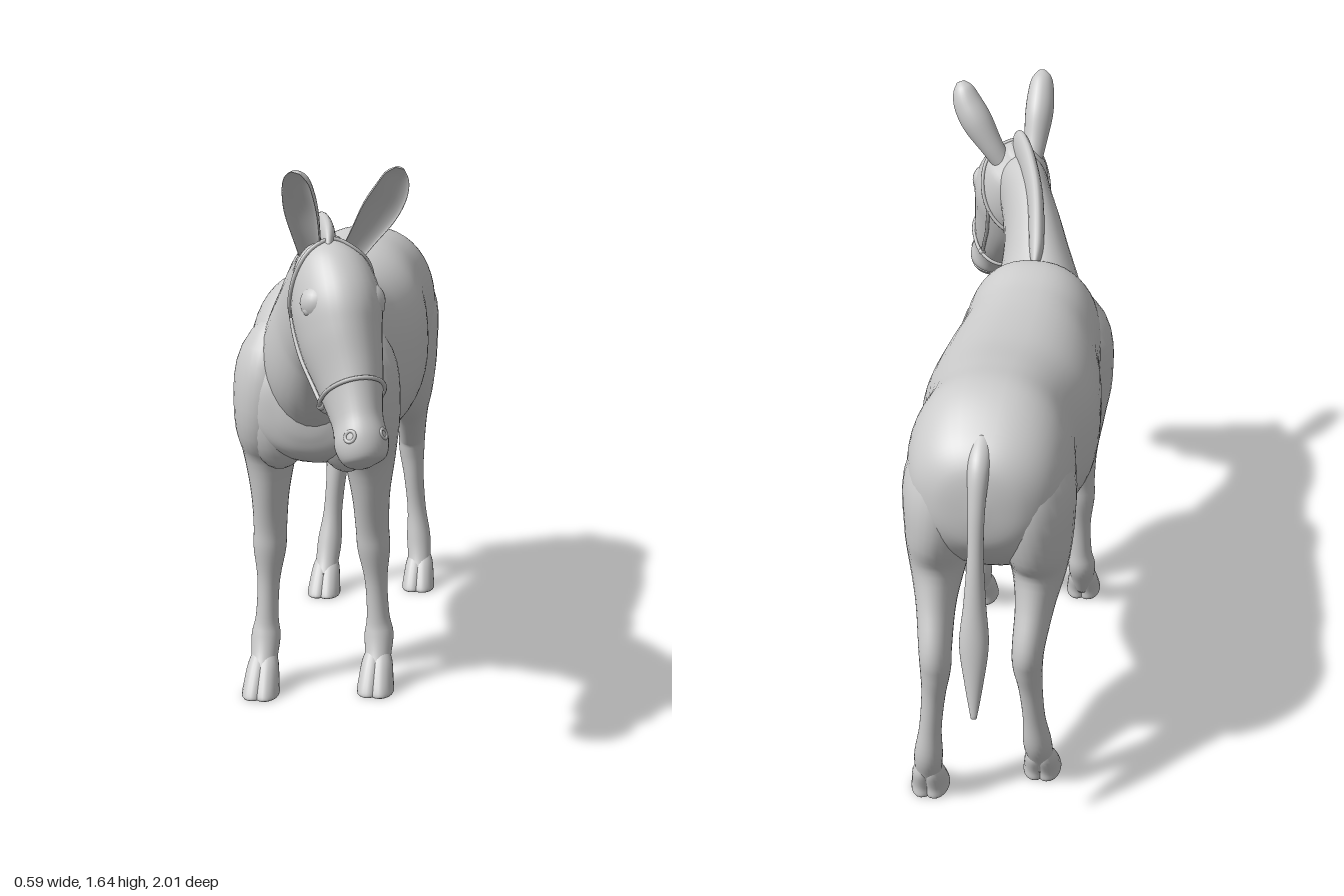
import * as THREE from 'three';

const V = (x, y, z) => new THREE.Vector3(x, y, z);
const grey = new THREE.MeshStandardMaterial({ color: 0xcccccc });
const CX = -0.04; // middle of the trunk

// Catmull-Rom value of every column of the station table at v in 0..1
function sample(st, v) {
  const f = Math.min(Math.max(v, 0), 1) * (st.length - 1);
  const i = Math.min(Math.floor(f), st.length - 2), t = f - i;
  const p = k => st[Math.min(Math.max(i + k, 0), st.length - 1)];
  return st[0].map((_, c) => {
    const [a, b, d, e] = [p(-1)[c], p(0)[c], p(1)[c], p(2)[c]];
    return b + 0.5 * t * (d - a + t * (2 * a - 5 * b + 4 * d - e + t * (3 * (b - d) + e - a)));
  });
}

// Surface point on a loft; stations are [x, y, z, half width, half depth]
function loftPoint(st, v, ang, { side = V(1, 0, 0), dir, cup, power = 1, grow = 0 } = {}) {
  const [x, y, z, a, b] = sample(st, v);
  const e = 0.01, p0 = sample(st, v - e), p1 = sample(st, v + e);
  const t = dir ? dir.clone() : V(p1[0] - p0[0], p1[1] - p0[1], p1[2] - p0[2]).normalize();
  const s = side.clone().addScaledVector(t, -side.dot(t)).normalize();
  const u = t.clone().cross(s);
  const bend = n => Math.sign(n) * Math.abs(n) ** power; // below 1 squares the section
  let q = bend(Math.sin(ang));
  if (cup && q < 0) q *= -0.3; // hollow front of an ear
  return V(x, y, z).addScaledVector(s, (Math.max(a, 0.002) + grow) * bend(Math.cos(ang)))
    .addScaledVector(u, (Math.max(b, 0.002) + grow) * q);
}

function loft(name, st, opt = {}, rows = 48, seg = 32) {
  const pos = [], idx = [];
  for (let i = 0; i <= rows; i++)
    for (let j = 0; j < seg; j++)
      pos.push(...loftPoint(st, i / rows, j / seg * Math.PI * 2, opt).toArray());
  for (let i = 0; i < rows; i++)
    for (let j = 0; j < seg; j++) {
      const k = (j + 1) % seg, a = i * seg + j, b = i * seg + k;
      idx.push(a, b, a + seg, b, b + seg, a + seg);
    }
  // closing fans with their own centre points
  for (const [row, flip] of [[0, true], [rows, false]]) {
    const c = pos.length / 3, base = row * seg;
    pos.push(...sample(st, row / rows).slice(0, 3));
    for (let j = 0; j < seg; j++) {
      const a = base + j, b = base + (j + 1) % seg;
      idx.push(...(flip ? [c, b, a] : [c, a, b]));
    }
  }
  const g = new THREE.BufferGeometry();
  g.setAttribute('position', new THREE.Float32BufferAttribute(pos, 3));
  g.setIndex(idx);
  g.computeVertexNormals();
  const m = new THREE.Mesh(g, grey);
  m.name = name;
  return m;
}

function blob(name, p, sx, sy, sz) {
  const m = new THREE.Mesh(new THREE.SphereGeometry(1, 24, 16), grey);
  m.name = name;
  m.position.copy(p);
  m.scale.set(sx, sy, sz);
  return m;
}

function strap(name, pts, closed = false, r = 0.006) {
  const m = new THREE.Mesh(new THREE.TubeGeometry(new THREE.CatmullRomCurve3(pts, closed), 64, r, 8, closed), grey);
  m.name = name;
  return m;
}

// Leg with a notched hoof; the foot swings by swing along z
function leg(name, st, side, swing, footZ) {
  const g = new THREE.Group();
  g.name = name;
  const place = ([x, y, z, a, b]) => {
    const low = 1 - Math.min(y, 0.95) / 0.95;
    return [CX + side * x + 0.01 * low, y, z + swing * low, a, b];
  };
  g.add(loft('limb', st.map(place)));
  const lastX = st[st.length - 1][0];
  for (const d of [-1, 1]) {
    const half = [[0.012, 0.12, -0.05, 0.02, 0.025], [0.014, 0.085, -0.034, 0.032, 0.044],
      [0.017, 0.035, -0.008, 0.036, 0.056], [0.018, 0.008, 0, 0.038, 0.064], [0.018, 0, 0, 0.036, 0.061]];
    g.add(loft('hoof', half.map(([x, y, z, a, b]) => place([lastX + d * x, y, footZ + z, a, b])),
      { dir: V(0, -1, 0) }, 16, 20));
  }
  return g;
}

export function createModel() {
  const model = new THREE.Group();
  model.name = 'donkey';

  // Trunk, rump to chest
  model.add(loft('trunk', [
    [CX, 1.02, -0.866, 0.02, 0.03], [CX, 1.025, -0.848, 0.12, 0.12], [CX, 1.02, -0.78, 0.195, 0.2],
    [CX, 1.01, -0.65, 0.23, 0.28], [CX, 1.01, -0.5, 0.222, 0.273], [CX, 0.967, -0.3, 0.254, 0.286],
    [CX, 0.957, -0.1, 0.245, 0.287], [CX, 0.967, 0.05, 0.22, 0.285], [CX, 0.985, 0.2, 0.21, 0.285],
    [CX, 0.95, 0.31, 0.195, 0.225], [CX, 0.9, 0.385, 0.155, 0.14], [CX, 0.89, 0.412, 0.08, 0.075],
    [CX, 0.89, 0.42, 0.02, 0.02],
  ], { dir: V(0, 0, 1), power: 0.87 }, 78, 48));
  for (const s of [-1, 1])
    model.add(blob('breastMuscle', V(CX + s * 0.1, 0.87, 0.3), 0.1, 0.17, 0.1));
  model.add(blob('sheath', V(CX, 0.75, -0.5), 0.035, 0.033, 0.055));

  // Neck and upright mane
  model.add(loft('neck', [
    [CX, 0.97, 0.16, 0.17, 0.24], [-0.035, 1.06, 0.32, 0.146, 0.22], [-0.005, 1.185, 0.465, 0.101, 0.185],
    [0.035, 1.265, 0.59, 0.083, 0.17], [0.07, 1.33, 0.69, 0.075, 0.12], [0.09, 1.36, 0.74, 0.03, 0.05],
  ], { side: V(1, 0, -0.25) }));
  model.add(loft('mane', [
    [CX, 1.25, 0.2, 0.008, 0.015], [-0.035, 1.275, 0.28, 0.022, 0.045], [-0.01, 1.36, 0.43, 0.025, 0.07],
    [0.025, 1.415, 0.55, 0.025, 0.07], [0.06, 1.44, 0.65, 0.024, 0.064], [0.085, 1.44, 0.72, 0.02, 0.045],
    [0.095, 1.42, 0.77, 0.006, 0.01],
  ], { side: V(1, 0, -0.3) }, 40, 20));

  // Head, turned to its left
  const head = new THREE.Group();
  head.name = 'head';
  const skull = [
    [0.08, 1.435, 0.675, 0.03, 0.04], [0.085, 1.375, 0.705, 0.092, 0.11], [0.11, 1.28, 0.745, 0.117, 0.148],
    [0.13, 1.19, 0.785, 0.108, 0.145], [0.165, 1.09, 0.84, 0.086, 0.115], [0.195, 1.0, 0.9, 0.066, 0.083],
    [0.213, 0.945, 0.935, 0.07, 0.074], [0.223, 0.905, 0.948, 0.052, 0.052], [0.228, 0.89, 0.953, 0.008, 0.008],
  ];
  const turn = { side: V(0.89, 0, -0.45) };
  const onHead = (v, ang, grow = 0) => loftPoint(skull, v, ang, { ...turn, grow });
  head.add(loft('skull', skull, turn, 56, 36));
  for (const s of [-1, 1]) {
    const at = ang => s > 0 ? ang : Math.PI - ang;
    head.add(blob('brow', onHead(0.27, at(0.6), -0.04), 0.05, 0.05, 0.05));
    head.add(blob('eye', onHead(0.295, at(0.5), -0.012), 0.018, 0.018, 0.018));
    const rim = [...Array(10)].map((_, i) => {
      const q = i / 10 * Math.PI * 2;
      return onHead(0.73 + 0.022 * Math.cos(q), at(0.85 + 0.2 * Math.sin(q)), -0.002);
    });
    head.add(strap('nostril', rim, true, 0.005));
  }
  head.add(strap('mouth', [...Array(9)].map((_, i) => onHead(0.8, -Math.PI * (0.1 + 0.1 * i), 0)), false, 0.004));

  // Cupped, blunt-tipped ears
  head.add(loft('leftEar', [
    [0.13, 1.38, 0.69, 0.03, 0.03], [0.17, 1.44, 0.695, 0.038, 0.038], [0.217, 1.51, 0.71, 0.05, 0.05],
    [0.25, 1.565, 0.725, 0.047, 0.046], [0.268, 1.61, 0.737, 0.034, 0.034], [0.278, 1.634, 0.743, 0.012, 0.012],
  ], { side: V(0.85, -0.3, -0.4), cup: true }, 32, 28));
  head.add(loft('rightEar', [
    [0.04, 1.37, 0.71, 0.03, 0.03], [0.034, 1.44, 0.757, 0.038, 0.042], [0.029, 1.51, 0.802, 0.046, 0.054],
    [0.029, 1.565, 0.842, 0.044, 0.05], [0.031, 1.61, 0.874, 0.034, 0.036], [0.034, 1.633, 0.89, 0.012, 0.012],
  ], { side: V(0.9, 0, 0.25), cup: true }, 32, 28));
  model.add(head);

  // Halter
  const halter = new THREE.Group();
  halter.name = 'halter';
  const loop = fn => [...Array(20)].map((_, i) => fn(i / 20 * Math.PI * 2));
  halter.add(strap('noseband', loop(a => onHead(0.54, a, 0.004 + Math.max(0, -0.012 * Math.sin(a)))), true));
  halter.add(strap('headstrap', loop(a => onHead(0.19 - 0.14 * Math.sin(a), a, 0.003)), true));
  for (const a of [-0.55, Math.PI + 0.55]) {
    halter.add(strap('cheekStrap', [0.26, 0.32, 0.39, 0.46, 0.54].map(v => onHead(v, a, 0.004))));
    halter.add(blob('buckle', onHead(0.54, a, 0.006), 0.012, 0.012, 0.012));
  }
  halter.add(strap('chinStrap', [0.32, 0.38, 0.46, 0.54].map(v => onHead(v, -Math.PI / 2, 0.014))));
  model.add(halter);

  // Legs: the right pair stands a little further forward
  const front = [
    [0.08, 1.17, 0.2, 0.04, 0.06], [0.125, 1.02, 0.24, 0.105, 0.135], [0.142, 0.86, 0.24, 0.103, 0.142],
    [0.148, 0.74, 0.205, 0.08, 0.108], [0.15, 0.61, 0.195, 0.057, 0.078], [0.152, 0.5, 0.185, 0.05, 0.056],
    [0.155, 0.43, 0.178, 0.049, 0.052], [0.16, 0.33, 0.172, 0.034, 0.038], [0.165, 0.22, 0.17, 0.034, 0.037],
    [0.168, 0.16, 0.172, 0.044, 0.043], [0.168, 0.1, 0.195, 0.04, 0.04], [0.168, 0.05, 0.22, 0.04, 0.042],
  ];
  const hind = [
    [0.06, 1.2, -0.62, 0.06, 0.08], [0.112, 1.04, -0.66, 0.115, 0.17], [0.132, 0.88, -0.665, 0.102, 0.175],
    [0.14, 0.755, -0.687, 0.08, 0.128], [0.136, 0.65, -0.748, 0.056, 0.086], [0.127, 0.545, -0.815, 0.046, 0.066],
    [0.125, 0.48, -0.824, 0.043, 0.053], [0.132, 0.39, -0.82, 0.034, 0.042], [0.142, 0.27, -0.82, 0.032, 0.035],
    [0.15, 0.17, -0.812, 0.041, 0.042], [0.155, 0.1, -0.79, 0.039, 0.038], [0.157, 0.05, -0.77, 0.04, 0.04],
  ];
  model.add(leg('frontLeftLeg', front, 1, 0, 0.245), leg('frontRightLeg', front, -1, 0.085, 0.245));
  model.add(leg('hindLeftLeg', hind, 1, 0, -0.75), leg('hindRightLeg', hind, -1, 0.125, -0.75));

  // Tail with its tuft
  model.add(loft('tail', [
    [CX, 1.19, -0.77, 0.03, 0.03], [CX, 1.145, -0.838, 0.03, 0.028], [CX, 1.05, -0.88, 0.023, 0.021],
    [CX, 0.92, -0.905, 0.022, 0.022], [CX, 0.78, -0.922, 0.03, 0.03], [CX, 0.66, -0.941, 0.04, 0.033],
    [CX - 0.003, 0.55, -0.966, 0.026, 0.023], [CX - 0.006, 0.45, -0.993, 0.008, 0.006],
  ]));
  return model;
}
